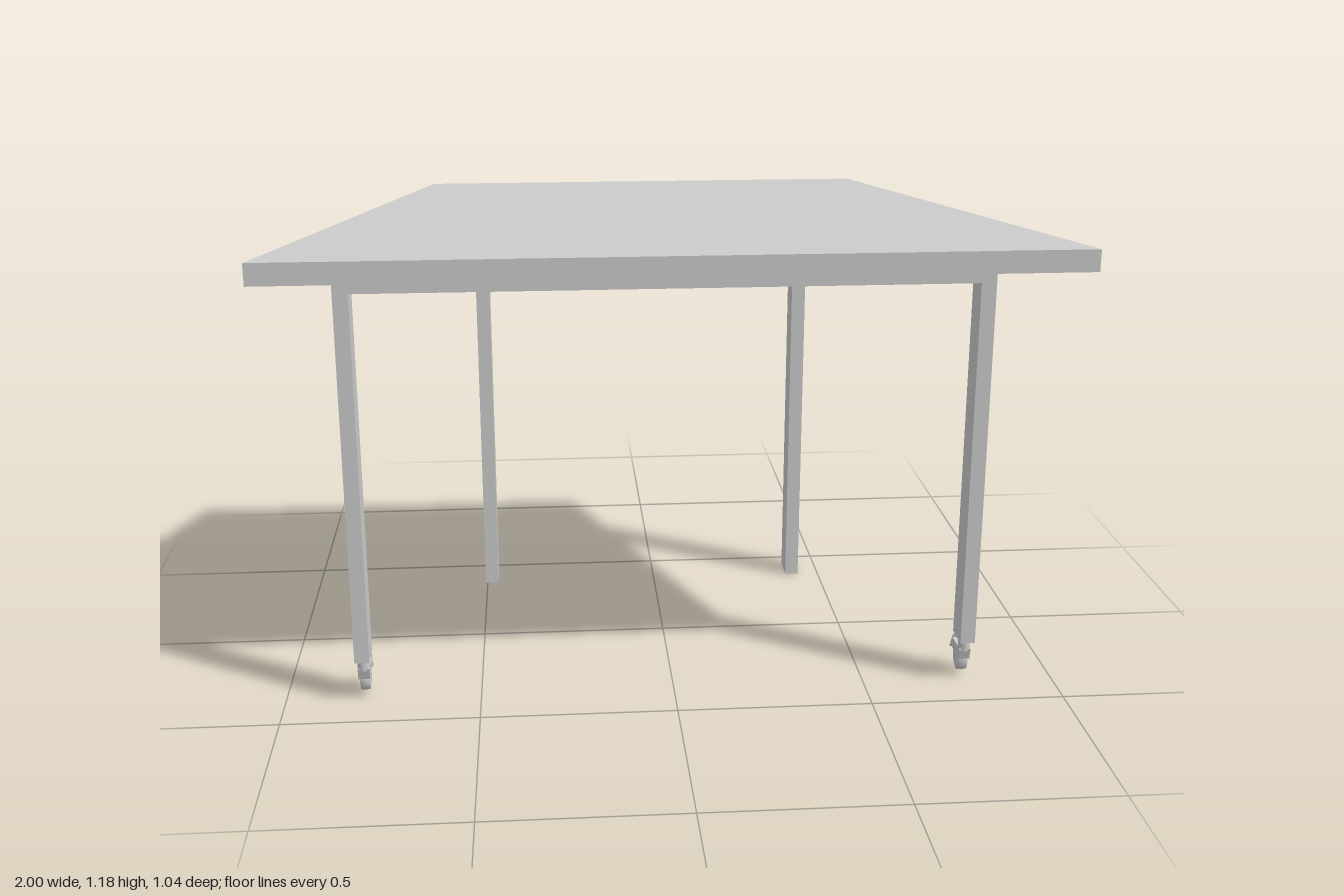
import * as THREE from 'three';

const grey = new THREE.MeshStandardMaterial({ color: 0xcccccc });

function add(parent, name, geometry, x = 0, y = 0, z = 0) {
  const mesh = new THREE.Mesh(geometry, grey);
  mesh.name = name;
  mesh.position.set(x, y, z);
  parent.add(mesh);
  return mesh;
}

// Extrude a closed outline, centred on its thickness
function slab(points, depth) {
  const shape = new THREE.Shape(points.map(([x, y]) => new THREE.Vector2(x, y)));
  return new THREE.ExtrudeGeometry(shape, { depth, bevelEnabled: false, curveSegments: 8 })
    .translate(0, 0, -depth / 2);
}

// Inverted U: two legs and the rail under the top, as one bent bar
function legFrame(x0, x1, bottom) {
  const top = 1.125, t = 0.038, rail = 0.05;
  return slab([
    [x0, bottom], [x0 + t, bottom], [x0 + t, top - rail], [x1 - t, top - rail],
    [x1 - t, bottom], [x1, bottom], [x1, top], [x0, top],
  ], 0.08);
}

function createCaster() {
  const caster = new THREE.Group();
  caster.name = 'caster';
  add(caster, 'casterStem', new THREE.CylinderGeometry(0.016, 0.016, 0.034, 20), 0, 0.099, 0.368);

  // Fork cover with the brake lever; outline is drawn as (z, y)
  const cover = slab([
    [0.383, 0.088], [0.374, 0.056], [0.352, 0.056], [0.338, 0.047], [0.325, 0.068],
    [0.314, 0.059], [0.298, 0.066], [0.279, 0.048], [0.295, 0.078], [0.309, 0.099], [0.307, 0.088],
  ], 0.03);
  cover.rotateY(-Math.PI / 2);
  add(caster, 'casterCover', cover);

  // Wheel with shallow dished sides
  const profile = [[0, -0.009], [0.024, -0.013], [0.034, -0.011], [0.034, 0.011], [0.024, 0.013], [0, 0.009]]
    .map(([r, h]) => new THREE.Vector2(r, h));
  const wheel = add(caster, 'casterWheel', new THREE.LatheGeometry(profile, 32), 0, 0.047, 0.338);
  wheel.rotation.z = Math.PI / 2;
  return caster;
}

export function createModel() {
  const table = new THREE.Group();
  table.name = 'table';

  // Trapezoid top, wide edge at the front
  const top = slab([[-1, -0.52], [1, -0.52], [0.58, 0.52], [-0.62, 0.52]], 0.055);
  top.rotateX(-Math.PI / 2);
  add(table, 'tableTop', top, 0, 1.1525, 0);

  add(table, 'frontLegFrame', legFrame(-0.818, 0.787, 0.113), 0, 0, 0.36);
  add(table, 'backLegFrame', legFrame(-0.505, 0.44, 0), 0, 0, -0.405);

  for (const x of [-0.798, 0.767]) {
    const caster = createCaster();
    caster.position.x = x;
    table.add(caster);
  }
  return table;
}
